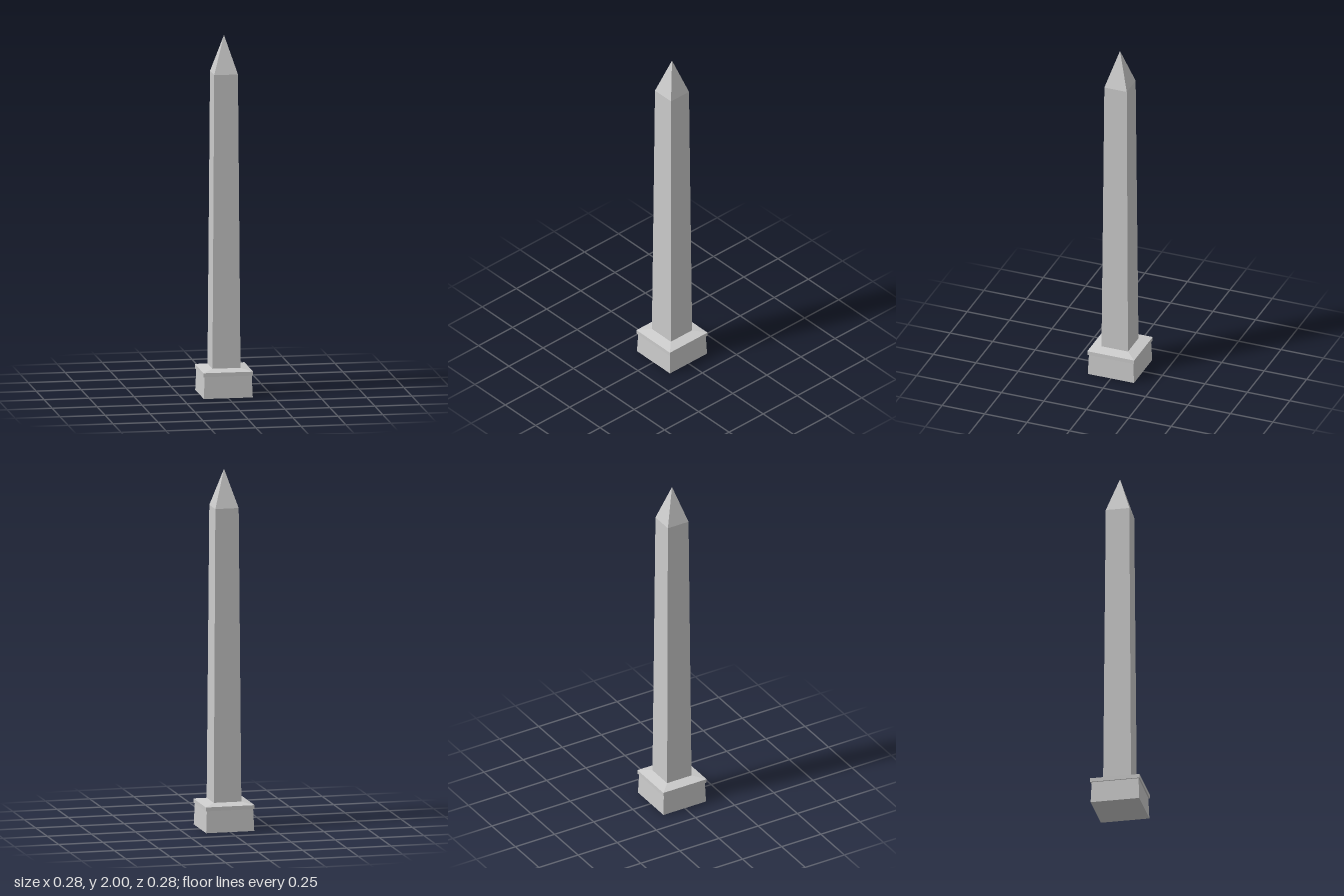
import * as THREE from 'three';

const material = new THREE.MeshStandardMaterial({ color: 0xcccccc, flatShading: true });

// Square frustum between two heights, given by its half-widths
function frustum(name, bottom, top, y0, y1) {
  const geometry = new THREE.CylinderGeometry(top * Math.SQRT2, bottom * Math.SQRT2, y1 - y0, 4);
  geometry.rotateY(Math.PI / 4);
  geometry.translate(0, (y0 + y1) / 2, 0);
  const mesh = new THREE.Mesh(geometry, material);
  mesh.name = name;
  return mesh;
}

export function createModel() {
  const group = new THREE.Group();
  group.name = 'obelisk';
  group.add(
    // Plinth with a projecting, bevelled ledge
    frustum('plinth', 0.136, 0.131, 0, 0.122),
    frustum('ledge', 0.138, 0.138, 0.122, 0.144),
    frustum('ledgeBevel', 0.138, 0.078, 0.144, 0.156),
    // Tapering shaft and pointed cap
    frustum('shaft', 0.078, 0.066, 0.156, 1.79),
    frustum('pyramidCap', 0.066, 0, 1.79, 2)
  );
  return group;
}
